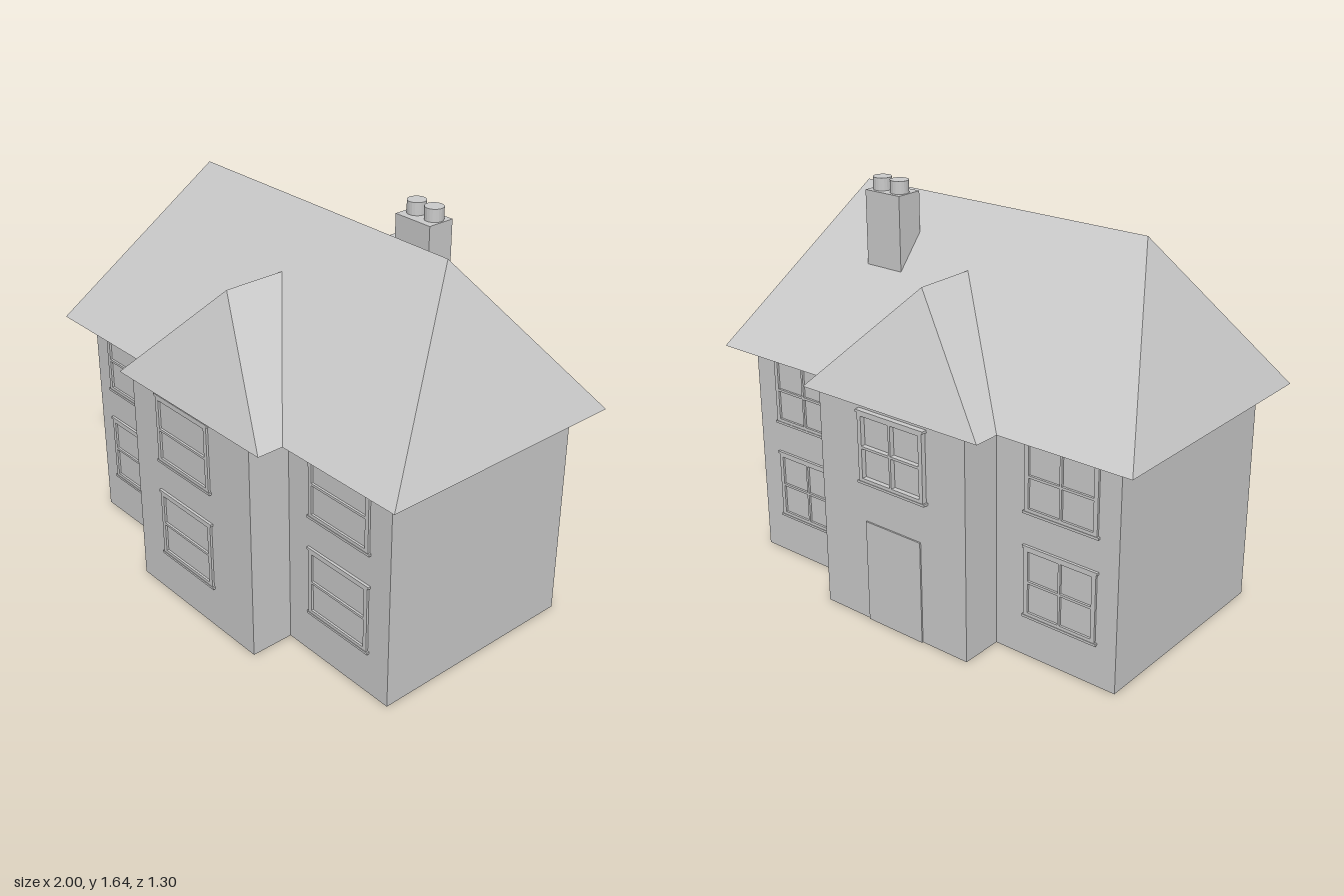
import * as THREE from 'three';

const material = new THREE.MeshStandardMaterial({ color: 0xcccccc, flatShading: true });

function add(parent, name, geometry, x = 0, y = 0, z = 0) {
  const mesh = new THREE.Mesh(geometry, material);
  mesh.name = name;
  mesh.position.set(x, y, z);
  parent.add(mesh);
  return mesh;
}

// Flat-faced solid from corner points and convex faces
function facets(points, faces) {
  const positions = [];
  for (const f of faces)
    for (let i = 1; i < f.length - 1; i++)
      positions.push(...points[f[0]], ...points[f[i]], ...points[f[i + 1]]);
  const g = new THREE.BufferGeometry();
  g.setAttribute('position', new THREE.Float32BufferAttribute(positions, 3));
  g.computeVertexNormals();
  return g;
}

function rectPath(PathType, x0, y0, x1, y1) {
  return new PathType([[x0, y0], [x1, y0], [x1, y1], [x0, y1]].map(p => new THREE.Vector2(...p)));
}

// Sash window facing +z: a frame with cols x 2 panes, plus head and sill strips
function makeWindow(cols, depth) {
  const w = 0.32, h = 0.29, border = 0.018, bar = 0.01;
  const frame = rectPath(THREE.Shape, -w / 2, -h / 2, w / 2, h / 2);
  const pw = (w - 2 * border - (cols - 1) * bar) / cols;
  const ph = (h - 2 * border - bar) / 2;
  for (let i = 0; i < cols; i++)
    for (let j = 0; j < 2; j++) {
      const x = -w / 2 + border + i * (pw + bar);
      const y = -h / 2 + border + j * (ph + bar);
      frame.holes.push(rectPath(THREE.Path, x, y, x + pw, y + ph));
    }
  const group = new THREE.Group();
  group.name = 'window';
  add(group, 'windowFrame', new THREE.ExtrudeGeometry(frame, { depth, bevelEnabled: false }));
  for (const s of [-1, 1])
    add(group, s < 0 ? 'windowSill' : 'windowHead',
      new THREE.BoxGeometry(w + 0.014, 0.01, depth + 0.002), 0, s * h / 2, depth / 2 + 0.001);
  return group;
}

export function createModel() {
  const house = new THREE.Group();
  house.name = 'house';
  const eave = 0.915, frontBay = 0.637, backBay = 0.632, wall = 0.455;

  // Walls: cross-shaped plan with a bay at front and back
  const plan = new THREE.Shape([
    [-0.905, -wall], [-0.36, -wall], [-0.36, -frontBay], [0.36, -frontBay], [0.36, -wall], [0.905, -wall],
    [0.905, wall], [0.36, wall], [0.36, backBay], [-0.36, backBay], [-0.36, wall], [-0.905, wall],
  ].map(p => new THREE.Vector2(...p)));
  const walls = new THREE.ExtrudeGeometry(plan, { depth: eave, bevelEnabled: false });
  walls.rotateX(-Math.PI / 2);
  add(house, 'walls', walls);

  // Hipped main roof
  add(house, 'mainRoof', facets([
    [-1, eave, 0.54], [1, eave, 0.54], [1, eave, -0.54], [-1, eave, -0.54],
    [-0.675, 1.56, 0], [0.675, 1.56, 0],
  ], [[0, 1, 5, 4], [1, 2, 5], [2, 3, 4, 5], [3, 0, 4], [0, 3, 2, 1]]));

  // Hipped bay roofs running into the main roof
  const bayRoof = facets([
    [-0.43, eave, 0.65], [0.43, eave, 0.65], [0, 1.345, 0.44],
    [0, 1.345, 0.18], [-0.43, eave, 0.54], [0.43, eave, 0.54],
  ], [[0, 1, 2], [1, 5, 3, 2], [4, 0, 2, 3], [0, 4, 5, 1]]);
  add(house, 'frontBayRoof', bayRoof);
  add(house, 'backBayRoof', bayRoof).rotation.y = Math.PI;

  // Chimney and its two pots
  add(house, 'chimney', new THREE.BoxGeometry(0.175, 0.34, 0.115), 0.388, 1.42, -0.168);
  for (const x of [0.343, 0.432])
    add(house, 'chimneyPot', new THREE.CylinderGeometry(0.037, 0.037, 0.06, 20), x, 1.61, -0.175);

  // Windows
  function placeWindow(x, y, z, depth = 0.009) {
    const back = z < 0;
    const win = makeWindow(back ? 2 : 1, depth);
    win.position.set(x, y, z);
    if (back) win.rotation.y = Math.PI;
    house.add(win);
  }
  for (const y of [0.33, 0.76]) {
    placeWindow(-0.04, y, frontBay);
    for (const x of [-0.655, 0.638]) {
      placeWindow(x, y, wall);
      placeWindow(x, y - 0.01, -wall);
    }
  }
  placeWindow(-0.015, 0.747, -backBay, 0.02);

  // Back door
  add(house, 'backDoor', new THREE.BoxGeometry(0.275, 0.43, 0.006), -0.005, 0.215, -backBay - 0.003);

  return house;
}
